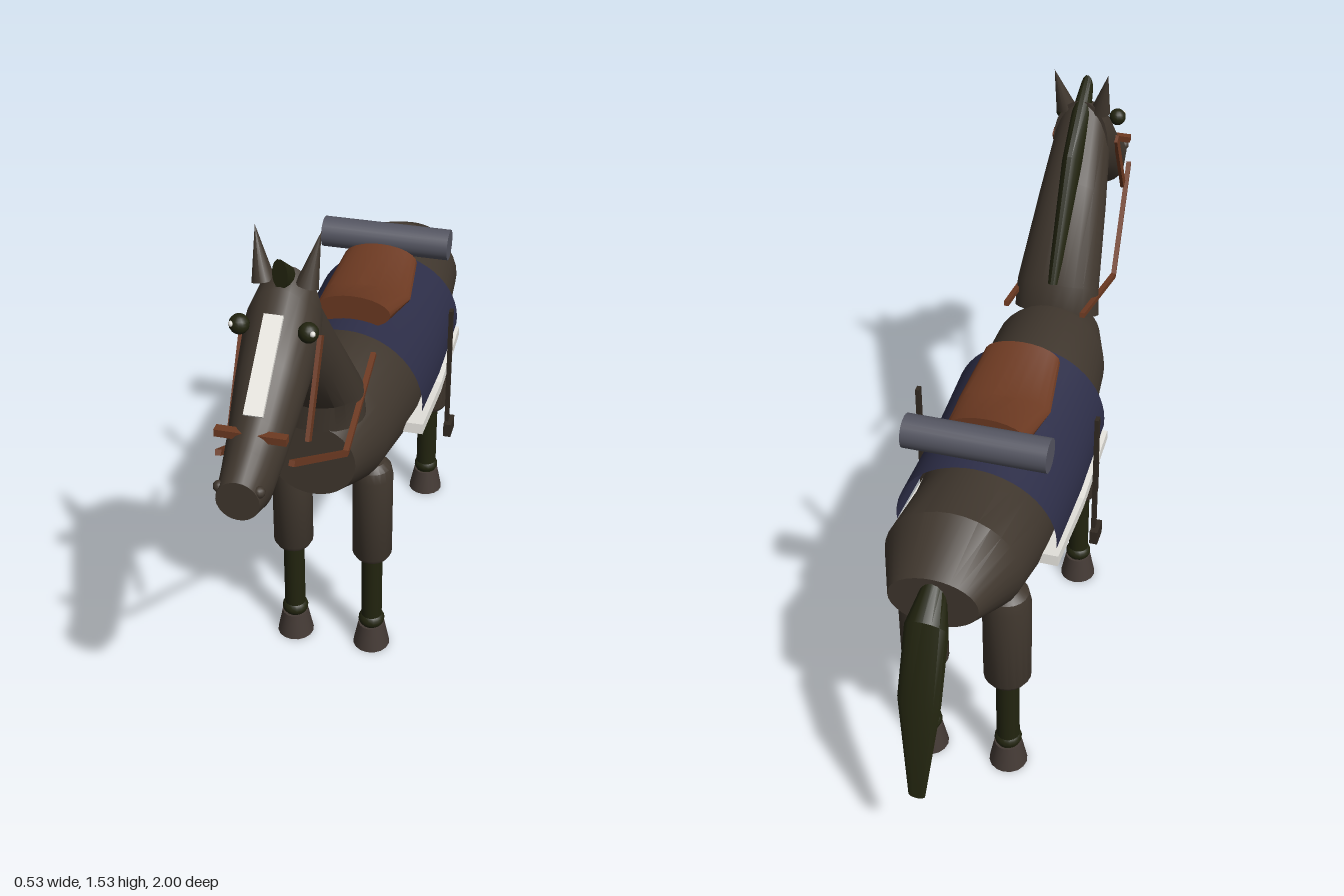
import * as THREE from 'three';
import { toCreasedNormals } from 'three/addons/utils/BufferGeometryUtils.js';

const mat = (name, color, extra = {}) => {
  const m = new THREE.MeshStandardMaterial({ color, ...extra });
  m.name = name;
  return m;
};

// Skin elliptical sections [zTop, yTop, zBottom, yBottom, halfWidth], ordered from front/upper end to back/lower end
function loft(sections, { from = 0, to = Math.PI * 2, caps = true, segs = 24 } = {}) {
  const pos = [], idx = [], n = segs + 1;
  for (const [zt, yt, zb, yb, rx] of sections) {
    for (let j = 0; j <= segs; j++) {
      const a = from + (to - from) * j / segs, s = Math.sin(a) / 2;
      pos.push(rx * Math.cos(a), (yt + yb) / 2 + (yt - yb) * s, (zt + zb) / 2 + (zt - zb) * s);
    }
  }
  for (let i = 0; i < sections.length - 1; i++) {
    for (let j = 0; j < segs; j++) {
      const a = i * n + j, c = a + n;
      idx.push(a, c, a + 1, a + 1, c, c + 1);
    }
  }
  if (caps) {
    for (const i of [0, sections.length - 1]) {
      const [zt, yt, zb, yb] = sections[i], centre = pos.length / 3;
      pos.push(0, (yt + yb) / 2, (zt + zb) / 2);
      for (let j = 0; j < segs; j++) {
        const a = i * n + j;
        if (i === 0) idx.push(centre, a, a + 1);
        else idx.push(centre, a + 1, a);
      }
    }
  }
  const g = new THREE.BufferGeometry();
  g.setAttribute('position', new THREE.Float32BufferAttribute(pos, 3));
  g.setIndex(idx);
  return toCreasedNormals(g, 0.6);
}

export function createModel() {
  const coat = mat('coat brown', 0x40372e);
  const dark = mat('mane black', 0x22240f);
  const cloth = mat('blanket navy', 0x2d2e48, { side: THREE.DoubleSide });
  const leather = mat('saddle leather', 0x6d3a22);
  const white = mat('white', 0xe6e4de);
  const grey = mat('bedroll grey', 0x555662);
  const strapMat = mat('strap dark brown', 0x322a22);
  const hoofMat = mat('hoof', 0x443a35);

  const model = new THREE.Group();
  model.name = 'horse';
  const add = (name, geo, material, x = 0, y = 0, z = 0) => {
    const m = new THREE.Mesh(geo, material);
    m.name = name;
    m.position.set(x, y, z);
    model.add(m);
    return m;
  };
  // Straight box-section strip between two points
  const bar = (name, material, a, b, w, h) => {
    const p = new THREE.Vector3(...a), q = new THREE.Vector3(...b);
    const m = add(name, new THREE.BoxGeometry(w, h, p.distanceTo(q)), material);
    m.position.copy(p).add(q).multiplyScalar(0.5);
    m.lookAt(q);
    return m;
  };

  // Body, neck and head
  add('body', loft([
    [0.40, 0.885, 0.40, 0.668, 0.115],
    [0.25, 0.953, 0.25, 0.59, 0.165],
    [-0.045, 0.925, -0.045, 0.515, 0.188],
    [-0.44, 0.90, -0.44, 0.53, 0.185],
    [-0.66, 0.937, -0.66, 0.615, 0.178],
    [-0.815, 0.86, -0.815, 0.71, 0.115],
  ], { segs: 32 }), coat);
  add('neck', loft([
    [0.575, 1.43, 0.63, 1.17, 0.08],
    [0.445, 1.25, 0.55, 1.085, 0.098],
    [0.275, 1.01, 0.41, 0.945, 0.12],
    [0.26, 0.92, 0.405, 0.87, 0.125],
  ]), coat);
  add('head', loft([
    [0.995, 1.135, 0.995, 1.035, 0.05],
    [0.93, 1.175, 0.92, 1.005, 0.06],
    [0.86, 1.215, 0.85, 1.04, 0.068],
    [0.76, 1.305, 0.75, 1.10, 0.08],
    [0.64, 1.415, 0.63, 1.16, 0.09],
    [0.575, 1.44, 0.575, 1.19, 0.08],
  ]), coat);
  bar('blaze', white, [0, 1.376, 0.69], [0, 1.221, 0.865], 0.045, 0.009);

  // Mane and tail
  add('mane', loft([
    [0.64, 1.49, 0.635, 1.41, 0.018],
    [0.56, 1.43, 0.59, 1.36, 0.028],
    [0.445, 1.33, 0.51, 1.25, 0.028],
    [0.268, 1.015, 0.32, 1.00, 0.018],
  ], { segs: 14 }), dark);
  add('tail', loft([
    [-0.79, 0.865, -0.80, 0.75, 0.03],
    [-0.89, 0.79, -0.845, 0.70, 0.056],
    [-0.965, 0.57, -0.915, 0.585, 0.056],
    [-1.0, 0.285, -0.992, 0.30, 0.022],
  ], { segs: 16 }), dark);

  // Paired details on both sides
  for (const s of [1, -1]) {
    const ear = add('ear', new THREE.ConeGeometry(0.028, 0.13, 12), coat, s * 0.064, 1.468, 0.582);
    ear.rotation.set(-0.25, 0, -s * 0.2);
    add('eye', new THREE.SphereGeometry(0.024, 14, 10), dark, s * 0.08, 1.345, 0.695);
    add('eyeGlint', new THREE.SphereGeometry(0.007, 8, 6), white, s * 0.094, 1.352, 0.711);
    add('nostril', new THREE.SphereGeometry(0.014, 10, 8), coat, s * 0.045, 1.108, 0.98);

    // Bridle and reins
    bar('cheekStrap', leather, [s * 0.092, 1.305, 0.635], [s * 0.092, 1.095, 0.755], 0.01, 0.025);
    const bit = [s * 0.085, 1.11, 0.865], bend = [s * 0.122, 0.91, 0.53];
    bar('rein', leather, bit, bend, 0.014, 0.014);
    bar('rein', leather, bend, [s * 0.11, 0.985, 0.185], 0.014, 0.014);

    // Pale blanket trim along the flank
    const mid = [s * 0.195, 0.65, -0.21];
    bar('trim', white, [s * 0.195, 0.68, 0.06], mid, 0.055, 0.03);
    bar('trim', white, mid, [s * 0.195, 0.68, -0.485], 0.055, 0.03);

    // Stirrups
    add('stirrupStrap', new THREE.BoxGeometry(0.011, 0.4, 0.02), strapMat, s * 0.247, 0.725, -0.187);
    add('stirrup', new THREE.BoxGeometry(0.022, 0.042, 0.056), strapMat, s * 0.253, 0.533, -0.187);

    // Legs
    for (const [name, z, r, shin] of [['front', 0.2, 0.056, 0.03], ['hind', -0.585, 0.064, 0.032]]) {
      const profile = [[0, 0.33], [r * 0.85, 0.33], [r, 0.345], [r, 0.61], [r * 0.9, 0.64], [r * 0.6, 0.657], [0, 0.662]];
      const thigh = new THREE.LatheGeometry(profile.map(p => new THREE.Vector2(...p)), 20);
      add(name + 'UpperLeg', toCreasedNormals(thigh, 0.6), coat, s * 0.115, 0, z);
      add(name + 'LowerLeg', new THREE.CylinderGeometry(shin, shin, 0.27, 16), dark, s * 0.115, 0.205, z);
      const fetlock = add(name + 'Fetlock', new THREE.SphereGeometry(0.038, 16, 10), dark, s * 0.115, 0.092, z);
      fetlock.scale.y = 0.75;
      add(name + 'Hoof', new THREE.CylinderGeometry(0.038, 0.053, 0.075, 16), hoofMat, s * 0.115, 0.0375, z);
    }
  }
  add('noseband', new THREE.BoxGeometry(0.165, 0.018, 0.022), leather, 0, 1.183, 0.883);

  // Saddle blanket, saddle and bedroll
  add('blanket', loft([
    [0.042, 0.957, 0.042, 0.53, 0.216],
    [-0.21, 0.93, -0.21, 0.50, 0.216],
    [-0.475, 0.927, -0.475, 0.53, 0.216],
  ], { from: -0.08, to: Math.PI + 0.08, caps: false, segs: 28 }), cloth);
  add('saddle', loft([
    [-0.035, 1.02, -0.035, 0.925, 0.105],
    [-0.205, 0.962, -0.205, 0.905, 0.125],
    [-0.372, 1.008, -0.372, 0.91, 0.108],
  ]), leather);
  add('bedroll', new THREE.CylinderGeometry(0.045, 0.045, 0.378, 24), grey, 0, 0.99, -0.447).rotation.z = Math.PI / 2;

  return model;
}
